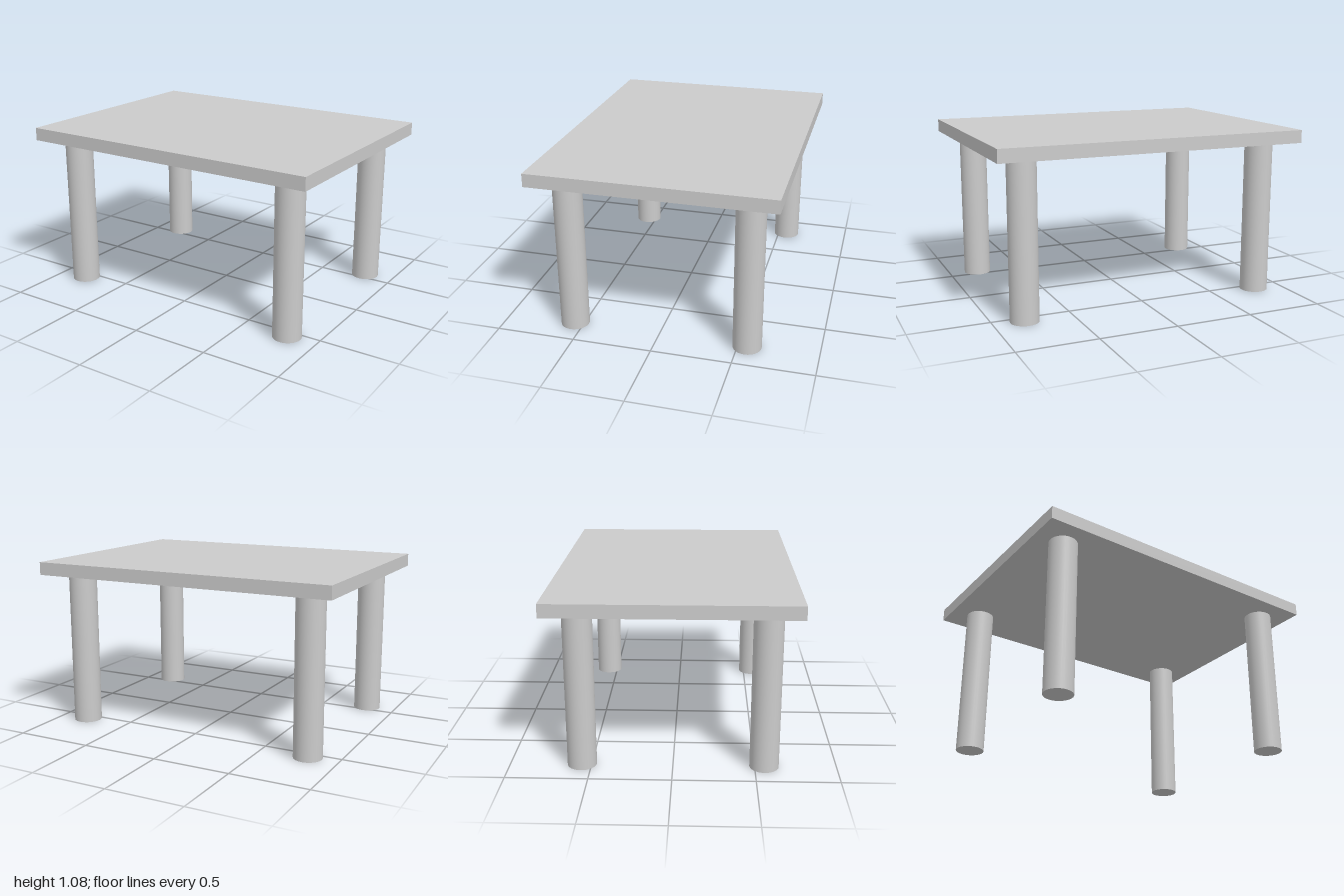
import * as THREE from 'three';

const LEG_HEIGHT = 1.0;
const LEG_RADIUS = 0.09;
const TOP_THICKNESS = 0.083;

export function createModel() {
  const table = new THREE.Group();
  table.name = 'table';
  const material = new THREE.MeshStandardMaterial({ color: 0xcccccc });

  // Flat slab resting on the legs
  const top = new THREE.Mesh(new THREE.BoxGeometry(2, TOP_THICKNESS, 1.5), material);
  top.name = 'tableTop';
  top.position.y = LEG_HEIGHT + TOP_THICKNESS / 2;
  table.add(top);

  // Four round legs, mirrored to the corners
  const legGeometry = new THREE.CylinderGeometry(LEG_RADIUS, LEG_RADIUS, LEG_HEIGHT, 32);
  for (const [side, x] of [['Left', 0.805], ['Right', -0.805]]) {
    for (const [end, z] of [['front', 0.558], ['back', -0.558]]) {
      const leg = new THREE.Mesh(legGeometry, material);
      leg.name = `${end}${side}Leg`;
      leg.position.set(x, LEG_HEIGHT / 2, z);
      table.add(leg);
    }
  }
  return table;
}
